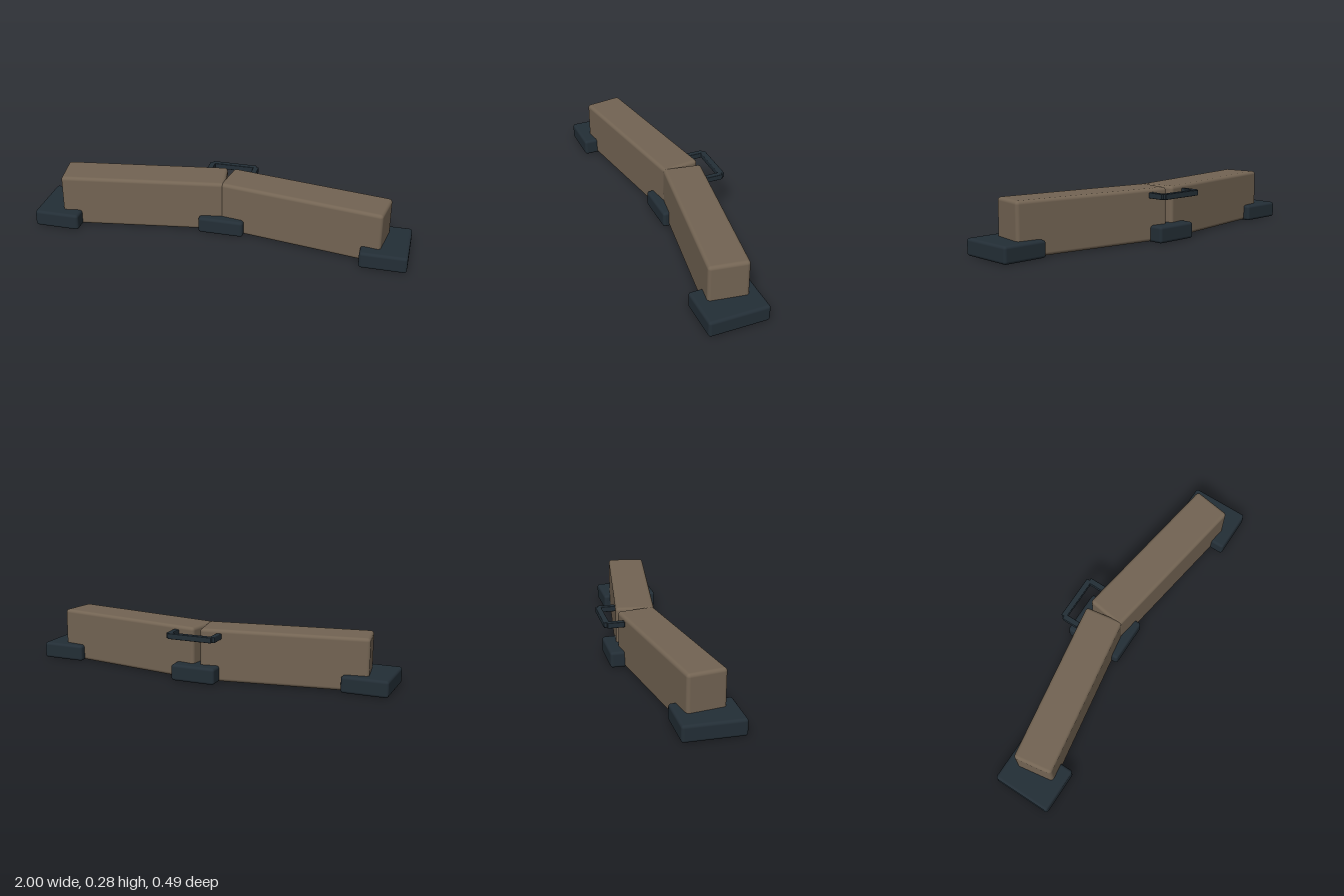
import * as THREE from 'three';
import { RoundedBoxGeometry } from 'three/addons/geometries/RoundedBoxGeometry.js';

export function createModel() {
  const model = new THREE.Group();
  model.name = 'angledBarrier';

  const brown = new THREE.MeshStandardMaterial({ color: 0x736453 });
  brown.name = 'brown';
  const darkSlate = new THREE.MeshStandardMaterial({ color: 0x232e36 });
  darkSlate.name = 'dark slate';

  // Rounded block given by its size and centre
  function block(name, material, [w, h, d], [x, y, z], radius) {
    const mesh = new THREE.Mesh(new RoundedBoxGeometry(w, h, d, 3, radius), material);
    mesh.name = name;
    mesh.position.set(x, y, z);
    model.add(mesh);
    return mesh;
  }

  const footSize = [0.245, 0.088, 0.316];
  for (const [side, label] of [[1, 'left'], [-1, 'right']]) {
    // Long wall segment, swept forward towards its outer end
    const wall = block(label + 'Wall', brown, [0.88, 0.279, 0.206], [side * 0.437, 0.1415, 0.0175], 0.018);
    wall.rotation.y = -side * THREE.MathUtils.degToRad(9);

    // Outer foot and handle arm
    block(label + 'Foot', darkSlate, footSize, [side * 0.8775, 0.044, 0.087], 0.015);
    block(label + 'HandleArm', darkSlate, [0.03, 0.03, 0.092], [side * 0.122, 0.247, -0.183], 0.004);
  }

  // Foot under the joint
  block('middleFoot', darkSlate, footSize, [0, 0.044, -0.054], 0.015);

  // Grip of the rear handle
  block('handleGrip', darkSlate, [0.245, 0.03, 0.03], [0, 0.247, -0.23], 0.004);

  return model;
}
